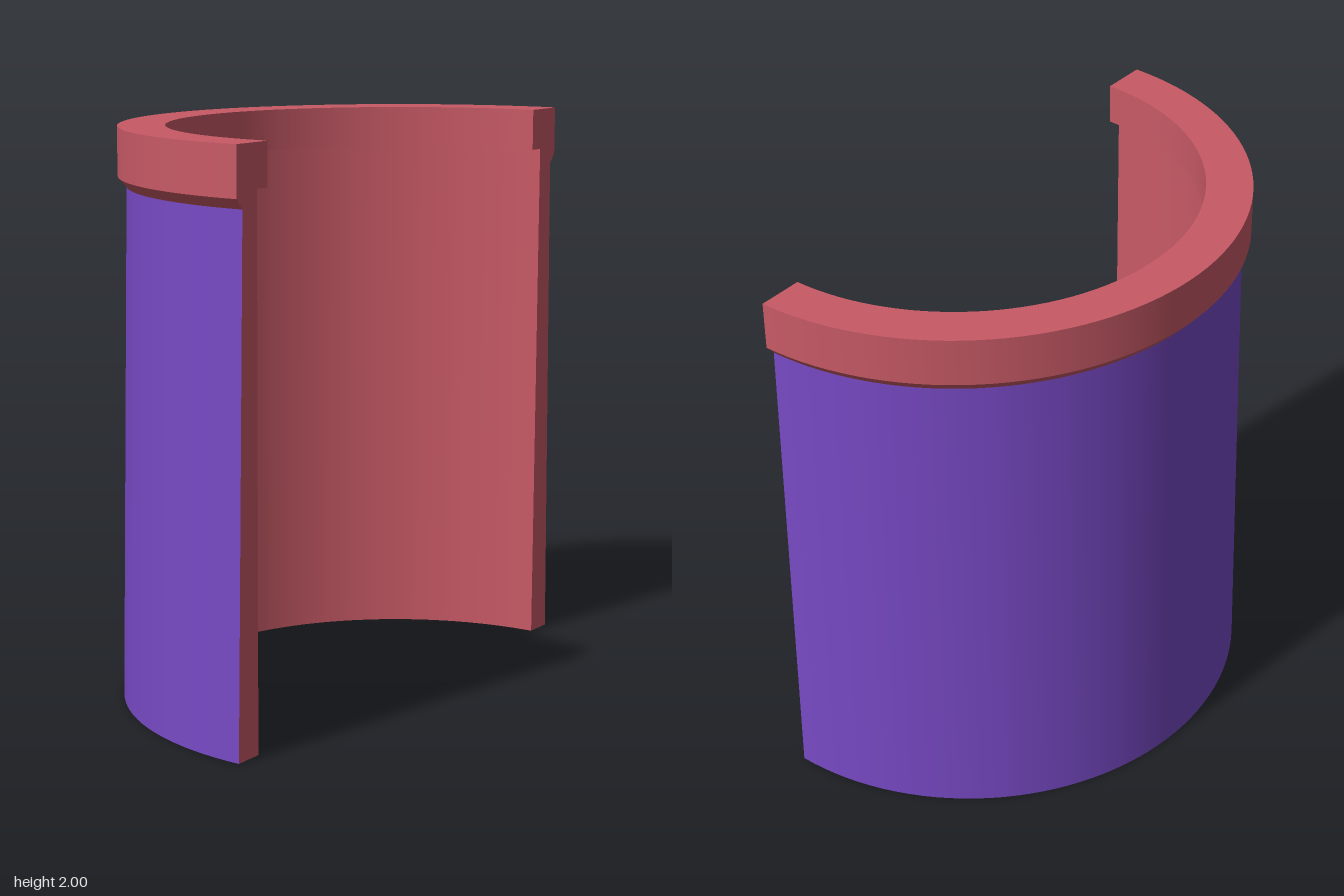
import * as THREE from 'three';
import { mergeGeometries } from 'three/addons/utils/BufferGeometryUtils.js';

// Wall cross-section [radius, height], counter-clockwise from the inner foot
const PROFILE = [
  [0.893, 0], [1, 0], [0.97, 1.795], [1, 1.83],
  [1, 2], [0.837, 2], [0.837, 1.853], [0.893, 1.853],
];
const AXIS_X = 0.5;
const SEGMENTS = 64;

// Half-turn surface swept by one profile edge, so profile corners stay sharp
function sweepEdge(i) {
  const ends = [PROFILE[i], PROFILE[(i + 1) % PROFILE.length]];
  const points = ends.map(([r, y]) => new THREE.Vector2(r, y));
  return new THREE.LatheGeometry(points, SEGMENTS, Math.PI, Math.PI);
}

// Flat cut face on one side of the axis, facing +x
function cutFace(side) {
  const points = PROFILE.map(([r, y]) => new THREE.Vector2(side * r, y));
  return new THREE.ShapeGeometry(new THREE.Shape(points)).rotateY(Math.PI / 2);
}

export function createModel() {
  const group = new THREE.Group();
  group.name = 'halfSleeve';
  const red = new THREE.MeshStandardMaterial({ color: 0xc85a66 });
  const purple = new THREE.MeshStandardMaterial({ color: 0x7749c4 });

  const add = (name, geometries, material) => {
    const mesh = new THREE.Mesh(mergeGeometries(geometries), material);
    mesh.name = name;
    mesh.position.x = AXIS_X;
    group.add(mesh);
  };

  // Bottom rim and tapered outer wall
  add('outerWall', [0, 1].map(sweepEdge), purple);
  // Chamfer, collar and inward lip
  add('collar', [2, 3, 4, 5, 6].map(sweepEdge), red);
  // Straight bore
  add('innerWall', [sweepEdge(7)], red);
  // Two cut ends of the half ring
  add('cutFaces', [-1, 1].map(cutFace), red);

  return group;
}
